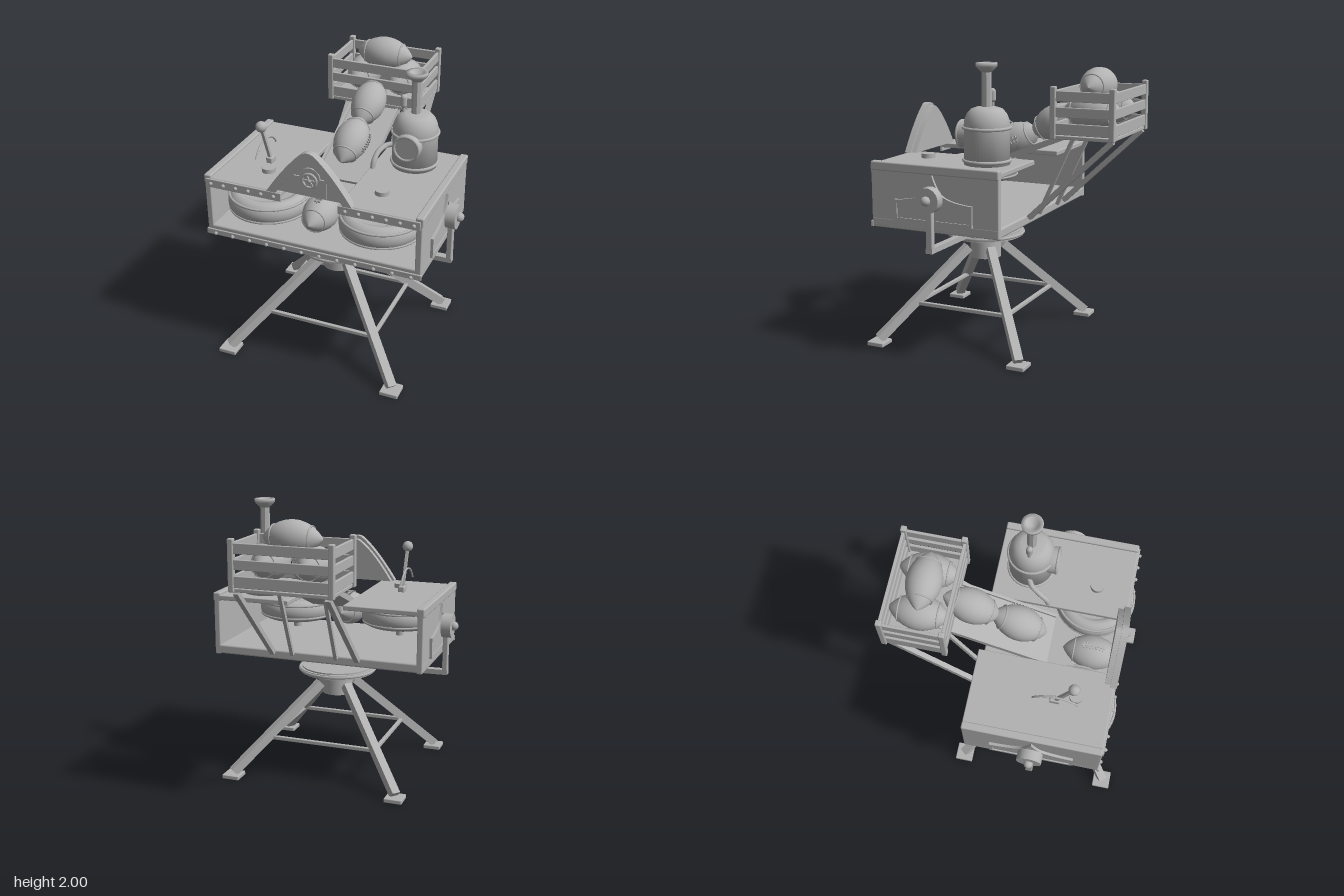
import * as THREE from 'three';
import { RoundedBoxGeometry } from 'three/addons/geometries/RoundedBoxGeometry.js';

export function createModel() {
  const model = new THREE.Group();
  const grey = new THREE.MeshStandardMaterial({ color: 0xb2b2b2, side: THREE.DoubleSide });
  grey.name = 'plainGrey';
  const V = (x, y, z) => new THREE.Vector3(x, y, z);

  function add(name, geo, x = 0, y = 0, z = 0, parent = model) {
    const m = new THREE.Mesh(geo, grey);
    m.name = name;
    m.position.set(x, y, z);
    parent.add(m);
    return m;
  }
  // softly rounded box given by its limits
  function box(name, x0, x1, y0, y1, z0, z1) {
    const w = Math.abs(x1 - x0), h = y1 - y0, d = z1 - z0;
    const geo = new RoundedBoxGeometry(w, h, d, 2, Math.min(w, h, d) * 0.2);
    return add(name, geo, (x0 + x1) / 2, (y0 + y1) / 2, (z0 + z1) / 2);
  }
  // square bar from a to b
  function bar(name, a, b, w, h = w) {
    const m = add(name, new THREE.BoxGeometry(w, h, a.distanceTo(b)));
    m.position.copy(a).lerp(b, 0.5);
    m.lookAt(b);
    return m;
  }
  const cyl = (name, r0, r1, h, x, y, z, seg = 32) => add(name, new THREE.CylinderGeometry(r0, r1, h, seg), x, y, z);
  const ball = (name, r, x, y, z) => add(name, new THREE.SphereGeometry(r, 16, 12), x, y, z);
  const lathe = (pts, seg = 40) => new THREE.LatheGeometry(pts.map(p => new THREE.Vector2(p[0], p[1])), seg);
  function ring(name, r, t, x, y, z, parent = model) {
    const m = add(name, new THREE.TorusGeometry(r, t, 8, 40), x, y, z, parent);
    m.rotation.x = Math.PI / 2;
    return m;
  }
  const extrude = (shape, depth) => new THREE.ExtrudeGeometry(shape, { depth, bevelEnabled: false, curveSegments: 16 });

  // four-legged stand
  const cz = 0.243, sides = [-1, 1];
  cyl('turntable', 0.278, 0.278, 0.03, 0, 0.75, cz, 48);
  ring('turntableRim', 0.275, 0.012, 0, 0.75, cz);
  cyl('turntableTop', 0.26, 0.26, 0.05, 0, 0.75, cz, 48);
  cyl('standHub', 0.112, 0.112, 0.17, 0, 0.65, cz);
  for (const sx of sides) {
    for (const sz of sides) {
      bar('standLeg', V(sx * 0.1, 0.645, cz + sz * 0.09), V(sx * 0.61, 0.045, cz + sz * 0.54), 0.06);
      box('foot', sx * 0.61 - 0.064, sx * 0.61 + 0.064, 0.005, 0.035, cz + sz * 0.54 - 0.064, cz + sz * 0.54 + 0.064);
    }
    box('crossBrace', -0.4, 0.4, 0.26, 0.288, cz + sx * 0.352 - 0.013, cz + sx * 0.352 + 0.013);
    box('sideBrace', sx * 0.4 - 0.013, sx * 0.4 + 0.013, 0.26, 0.288, cz - 0.352, cz + 0.352);
  }

  // open-ended body
  box('floor', -0.763, 0.763, 0.91, 0.975, -0.23, 0.712);
  box('floorTrim', -0.768, 0.768, 0.905, 0.945, 0.705, 0.722);
  for (let i = 0; i < 12; i++) ball('floorRivet', 0.013, -0.7 + i * 0.1273, 0.918, 0.724);
  for (const s of sides) {
    box('sideWall', s * 0.72, s * 0.762, 0.905, 1.34, -0.23, 0.712);
    box('sideRail', s * 0.715, s * 0.768, 1.29, 1.353, -0.23, 0.712);
    box('deck', s * 0.2, s * 0.73, 1.3, 1.335, -0.23, 0.71);
    box('deckTrim', s * 0.2, s * 0.75, 1.27, 1.33, 0.705, 0.722);
    for (let i = 0; i < 6; i++) ball('deckRivet', 0.013, s * (0.25 + i * 0.092), 1.3, 0.726);
  }

  // ornamental side panels, pivots and yoke
  function panelShape(k, P = THREE.Shape) {
    const p = new P(), w = 0.288 - k, b = 0.967 + k, e = 1.11 - k, t = 1.29 - 2.5 * k;
    p.moveTo(-w, b);
    p.lineTo(w, b);
    p.lineTo(w, e);
    p.quadraticCurveTo(0.09, e + 0.01, 0.05, e + 0.075);
    p.quadraticCurveTo(0.02, e + 0.12, 0, t);
    p.quadraticCurveTo(-0.02, e + 0.12, -0.05, e + 0.075);
    p.quadraticCurveTo(-0.09, e + 0.01, -w, e);
    p.lineTo(-w, b);
    return p;
  }
  const frameShape = panelShape(0);
  frameShape.holes.push(panelShape(0.022, THREE.Path));
  for (const s of sides) {
    add('sidePanelFrame', extrude(frameShape, 0.02), s * 0.76, 0, cz).rotation.y = s * Math.PI / 2;
    add('sidePanel', extrude(panelShape(0.02), 0.012), s * 0.76, 0, cz).rotation.y = s * Math.PI / 2;
    cyl('pivotHub', 0.085, 0.085, 0.068, s * 0.82, 1.137, cz).rotation.z = Math.PI / 2;
    cyl('pivotPin', 0.025, 0.025, 0.12, s * 0.82, 1.137, cz, 16).rotation.z = Math.PI / 2;
    ball('pivotKnob', 0.032, s * 0.862, 1.137, cz);
    box('yokeArm', s * 0.79, s * 0.828, 0.78, 1.137, cz - 0.024, cz + 0.024);
    bar('yokeBase', V(s * 0.828, 0.798, cz), V(s * 0.2, 0.787, cz), 0.048, 0.036);
  }

  // round-edged launching wheels on upright axles
  const rim = Array.from({ length: 15 }, (_, i) => {
    const a = -Math.PI / 2 + i * Math.PI / 14;
    return [0.215 + 0.067 * Math.cos(a), 0.08 * Math.sin(a)];
  });
  const wheel = lathe([[0, -0.05], [0.18, -0.05], [0.19, -0.073], ...rim, [0.19, 0.073], [0.18, 0.05], [0, 0.05]], 48);
  for (const s of sides) {
    const x = s * 0.405, z = 0.475;
    add('launchWheel', wheel, x, 1.135, z);
    for (const k of sides) ring('wheelRidge', 0.27, 0.009, x, 1.135 + k * 0.048, z);
    cyl('axle', 0.029, 0.029, 0.36, x, 1.155, z, 20);
    cyl('axleCap', 0.047, 0.047, 0.04, x, 1.345, z);
  }

  // pointed balls with bands and laces; long axis is local y
  const half = [[0.119, 0], [0.115, 0.045], [0.101, 0.09], [0.081, 0.13], [0.053, 0.165], [0.026, 0.191], [0, 0.208]];
  const ballGeo = lathe([...half.slice(1).reverse().map(p => [p[0], -p[1]]), ...half], 36);
  function football(name, x, y, z, tilt, roll, laceTurn) {
    const g = new THREE.Group();
    g.name = name;
    add('ballBody', ballGeo, 0, 0, 0, g);
    for (const s of sides) ring('ballBand', 0.081, 0.006, 0, s * 0.13, 0, g);
    const laces = new THREE.Group();
    laces.name = 'laces';
    for (let i = -3; i <= 3; i++) {
      const y = i * 0.022, r = 0.119 - 2.2 * y * y;
      add('laceStrip', new THREE.BoxGeometry(0.01, 0.024, 0.012), 0, y, r, laces);
      add('laceStitch', new THREE.BoxGeometry(0.042, 0.008, 0.018), 0, y, r, laces);
    }
    laces.rotation.y = laceTurn;
    g.add(laces);
    g.position.set(x, y, z);
    g.rotation.set(tilt, 0, roll);
    model.add(g);
  }
  const flat = Math.PI / 2, slope = Math.atan(0.45);
  football('readyBall', 0, 1.137, 0.525, flat, 0, Math.PI);
  football('lowerChuteBall', 0, 1.43, 0.01, flat + slope, 0, Math.PI / 2);
  football('upperChuteBall', 0, 1.58, -0.31, flat + slope, 0, 0);
  football('crateBallRight', -0.15, 1.68, -0.62, flat, 0, 0);
  football('crateBallLeft', 0.15, 1.68, -0.62, flat, 0, 0);
  football('crateTopBall', 0.005, 1.84, -0.61, 0, flat, -Math.PI / 2);

  // slatted crate
  box('crateFloor', -0.34, 0.34, 1.51, 1.535, -0.83, -0.415);
  for (const s of sides) {
    for (const z of [-0.825, -0.42]) box('cratePost', s * 0.335 - 0.02, s * 0.335 + 0.02, 1.51, 1.853, z - 0.02, z + 0.02);
    for (const [y0, y1] of [[1.54, 1.615], [1.655, 1.72], [1.757, 1.825]]) {
      box('crateSideSlat', s * 0.325, s * 0.345, y0, y1, -0.825, -0.42);
      const z = -0.622 + s * 0.205;
      box('crateEndSlat', -0.335, 0.335, y0, y1, z - 0.01, z + 0.01);
    }
    bar('crateStrut', V(s * 0.31, 1.51, -0.82), V(s * 0.31, 0.96, -0.24), 0.035);
    bar('chuteStrut', V(s * 0.16, 1.51, -0.5), V(s * 0.16, 0.96, -0.25), 0.025);
    // chute edges
    bar('chuteRail', V(s * 0.172, 1.53, -0.5), V(s * 0.172, 1.235, 0.23), 0.02, 0.04);
  }
  bar('chuteBed', V(0, 1.52, -0.5), V(0, 1.225, 0.23), 0.345, 0.02);

  // boiler with door, eight-sided chimney, valve and pipe
  const bx = 0.458;
  add('boiler', lathe([[0, 1.33], [0.153, 1.33], [0.153, 1.59], [0.148, 1.63], [0.132, 1.67], [0.105, 1.7],
    [0.07, 1.712], [0, 1.715]]), bx, 0, 0);
  for (const y of [1.362, 1.578]) ring('boilerBand', 0.155, 0.011, bx, y, 0);
  cyl('boilerDoor', 0.092, 0.092, 0.08, bx, 1.527, 0.145).rotation.x = Math.PI / 2;
  add('doorRim', new THREE.TorusGeometry(0.085, 0.011, 8, 36), bx, 1.527, 0.183);
  const chimney = new THREE.CylinderGeometry(0.033, 0.033, 0.26, 8).toNonIndexed();
  chimney.computeVertexNormals();
  add('chimney', chimney, bx, 1.83, 0).rotation.y = Math.PI / 8;
  add('chimneyCap', lathe([[0, 1.94], [0.035, 1.94], [0.07, 1.975], [0.072, 2], [0.045, 2], [0.03, 1.965], [0, 1.965]]), bx, 0, 0);
  cyl('valveStem', 0.012, 0.012, 0.13, 0.37, 1.72, 0, 12);
  add('valveCap', new THREE.CapsuleGeometry(0.022, 0.05, 6, 14), 0.37, 1.78, 0);
  const pipePath = new THREE.CatmullRomCurve3([V(0.32, 1.46, 0.01), V(0.27, 1.455, 0.04), V(0.235, 1.43, 0.1), V(0.222, 1.38, 0.15), V(0.22, 1.32, 0.17)]);
  add('steamPipe', new THREE.TubeGeometry(pipePath, 24, 0.019, 12));

  // aiming lever and its arc
  box('leverBase', -0.478, -0.432, 1.33, 1.375, 0.305, 0.375);
  const lever = V(-0.458, 1.642, 0.455);
  bar('leverArm', V(-0.458, 1.35, 0.34), lever, 0.02);
  ball('leverKnob', 0.038, lever.x, lever.y, lever.z);
  const arc = add('leverArc', new THREE.TorusGeometry(0.174, 0.007, 8, 32, 2.1), -0.487, 1.327, 0.345);
  arc.rotation.set(0, Math.PI / 2, 0.52, 'YXZ');

  // gable sign over the front opening
  const gable = new THREE.Shape();
  gable.moveTo(-0.278, 1.335);
  gable.lineTo(0.278, 1.335);
  gable.quadraticCurveTo(0.15, 1.54, 0.037, 1.623);
  gable.quadraticCurveTo(0, 1.655, -0.037, 1.623);
  gable.quadraticCurveTo(-0.15, 1.54, -0.278, 1.335);
  add('gableBack', extrude(gable, 0.045), 0, 0, 0.645);
  const trim = new THREE.Shape();
  trim.moveTo(-0.298, 1.335);
  trim.lineTo(-0.235, 1.335);
  trim.quadraticCurveTo(-0.12, 1.51, 0, 1.595);
  trim.quadraticCurveTo(0.12, 1.51, 0.235, 1.335);
  trim.lineTo(0.298, 1.335);
  trim.quadraticCurveTo(0.155, 1.555, 0.04, 1.648);
  trim.quadraticCurveTo(0, 1.673, -0.04, 1.648);
  trim.quadraticCurveTo(-0.155, 1.555, -0.298, 1.335);
  add('gableTrim', extrude(trim, 0.045), 0, 0, 0.682);
  const plaque = new THREE.Shape();
  plaque.moveTo(-0.115, 1.345);
  plaque.lineTo(0.115, 1.345);
  plaque.lineTo(0.115, 1.475);
  plaque.lineTo(0.07, 1.475);
  plaque.absarc(0, 1.475, 0.07, 0, Math.PI, false);
  plaque.lineTo(-0.115, 1.475);
  add('gablePlaque', extrude(plaque, 0.012), 0, 0, 0.688);
  add('rosetteRing', new THREE.TorusGeometry(0.048, 0.009, 8, 32), 0, 1.458, 0.703);
  for (let i = 0; i < 3; i++) add('rosetteSpoke', new THREE.BoxGeometry(0.09, 0.012, 0.012), 0, 1.458, 0.703).rotation.z = i * Math.PI / 3;
  ball('rosetteHub', 0.016, 0, 1.458, 0.703);
  return model;
}
